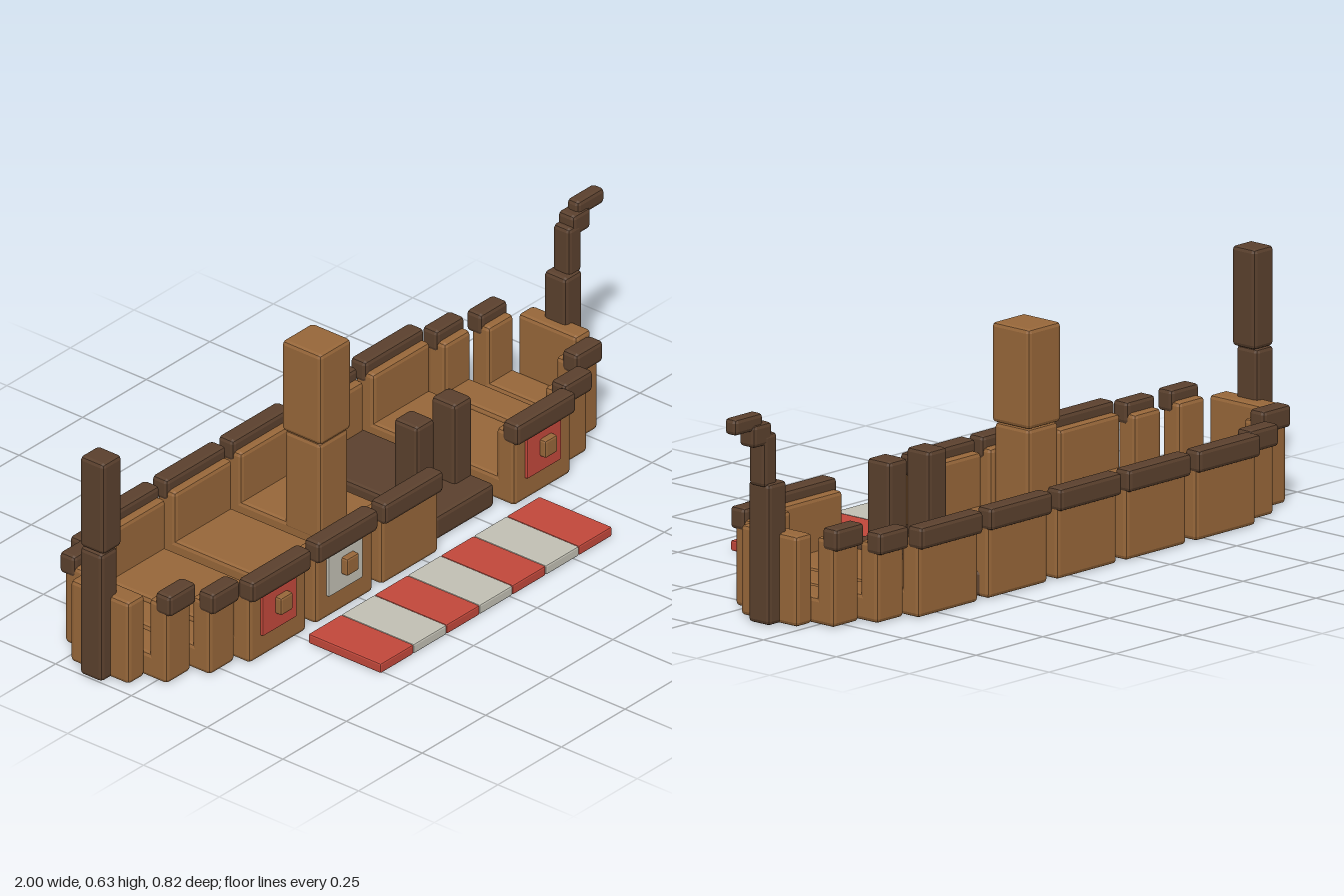
import * as THREE from 'three';
import { RoundedBoxGeometry } from 'three/addons/geometries/RoundedBoxGeometry.js';

const material = (name, color) => {
  const m = new THREE.MeshStandardMaterial({ color });
  m.name = name;
  return m;
};

export function createModel() {
  const ship = new THREE.Group();
  ship.name = 'longship';
  const wood = material('wood', 0x966639);
  const dark = material('darkWood', 0x5a402d);
  const red = material('red', 0xc0473a);
  const white = material('offWhite', 0xc0beb2);
  const MID = -0.135; // centre line of the hull

  // Chamfered, faceted box given by its extents
  function block(name, mat, x0, x1, y0, y1, z0, z1, bevel = 0.011) {
    const w = x1 - x0, h = y1 - y0, d = z1 - z0;
    let geo = new RoundedBoxGeometry(w, h, d, 1, Math.min(bevel, 0.3 * Math.min(w, h, d)));
    if (geo.index) geo = geo.toNonIndexed();
    geo.computeVertexNormals();
    const mesh = new THREE.Mesh(geo, mat);
    mesh.name = name;
    mesh.position.set((x0 + x1) / 2, (y0 + y1) / 2, (z0 + z1) / 2);
    ship.add(mesh);
    return mesh;
  }

  // Block on one side of the centre line, from inner to outer distance
  function sideBlock(name, mat, side, x0, x1, y0, y1, inner, outer) {
    const a = MID + side * inner, b = MID + side * outer;
    block(name, mat, x0, x1, y0, y1, Math.min(a, b), Math.max(a, b));
  }

  // Hull sections: x range, half width of the rail, top of the rail, doorway
  const sections = [
    [-0.905, -0.80, 0.184, 0.26],
    [-0.80, -0.693, 0.238, 0.24],
    [-0.69, -0.457, 0.277, 0.24],
    [-0.43, -0.195, 0.277, 0.24],
    [-0.17, 0.062, 0.277, 0.24],
    [0.09, 0.322, 0.277, 0.24, true],
    [0.35, 0.583, 0.277, 0.24],
    [0.586, 0.695, 0.238, 0.24],
    [0.695, 0.80, 0.184, 0.26],
  ];
  for (const [x0, x1, half, top, doorway] of sections) {
    const outer = half - 0.015;
    for (const side of [-1, 1]) {
      if (doorway && side === 1) continue;
      sideBlock('hullWall', wood, side, x0 + 0.004, x1 - 0.004, 0, top - 0.03, outer - 0.06, outer);
      sideBlock('rail', dark, side, x0, x1, top - 0.06, top, half - 0.052, half);
    }
    if (doorway) block('doorwayFloor', dark, x0, x1, 0.002, 0.07, MID - 0.235, 0.09);
    else block('floor', wood, x0 + 0.004, x1 - 0.004, 0, 0.07, MID - outer + 0.01, MID + outer - 0.01);
  }

  // Narrow bow and stern blocks
  block('sternBlock', wood, -0.965, -0.90, 0, 0.237, MID - 0.097, MID + 0.097);
  block('bowBlock', wood, 0.795, 0.855, 0, 0.237, MID - 0.097, MID + 0.097);

  // Stern post
  block('sternPostLower', dark, -1.0, -0.935, 0, 0.37, MID - 0.037, MID + 0.037);
  block('sternPostUpper', dark, -0.996, -0.922, 0.37, 0.633, MID - 0.04, MID + 0.04);

  // Stepped bow post with a forward-reaching head
  block('bowPostLower', dark, 0.825, 0.893, 0, 0.37, MID - 0.037, MID + 0.037);
  block('bowNeck', dark, 0.85, 0.90, 0.36, 0.50, MID - 0.028, MID + 0.028);
  block('bowNeckBend', dark, 0.868, 0.938, 0.47, 0.53, MID - 0.027, MID + 0.027);
  block('bowHead', dark, 0.895, 1.0, 0.513, 0.557, MID - 0.02, MID + 0.02);

  // Broken mast and doorway posts
  block('mastLower', wood, -0.167, -0.055, 0.05, 0.335, MID - 0.06, MID + 0.06);
  block('mastUpper', wood, -0.172, -0.05, 0.335, 0.597, MID - 0.065, MID + 0.065);
  for (const x of [0.103, 0.251]) block('doorPost', dark, x, x + 0.07, 0.05, 0.298, -0.062, 0.018);

  // Shields hung on the front wall
  for (const [x, mat] of [[-0.577, red], [-0.317, white], [0.463, red]]) {
    block('shield', mat, x - 0.067, x + 0.067, 0.065, 0.182, 0.12, 0.136, 0.004);
    block('shieldBoss', wood, x - 0.018, x + 0.03, 0.11, 0.16, 0.125, 0.155, 0.006);
  }

  // Striped sail lying on the ground
  for (let i = 0; i < 7; i++) {
    const x = -0.51 + i * 0.13;
    block('sailStripe', i % 2 ? white : red, x, x + 0.13, 0, 0.028, 0.172, 0.412, 0.005);
  }
  return ship;
}
